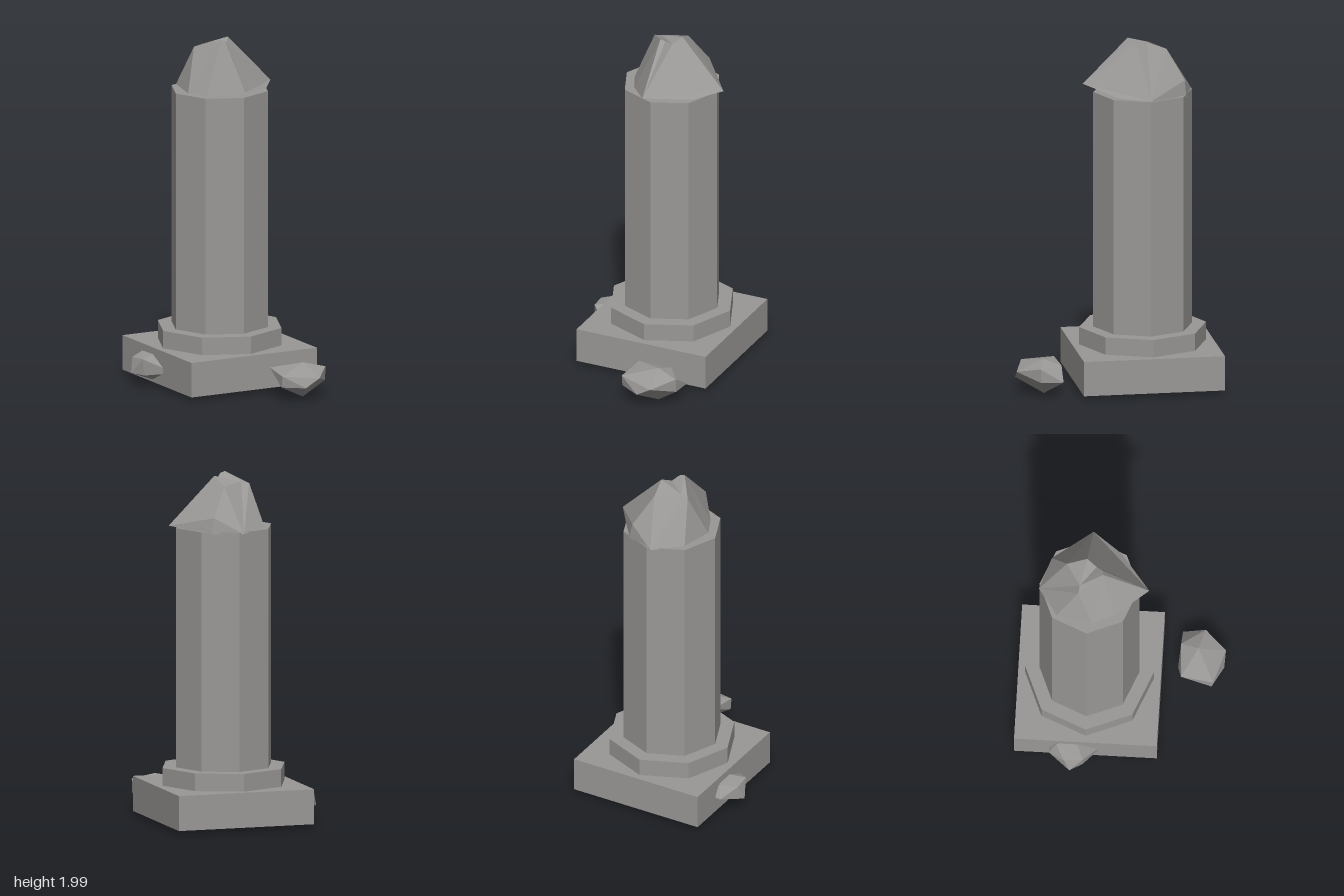
import * as THREE from 'three';
import { ConvexGeometry } from 'three/addons/geometries/ConvexGeometry.js';

const stone = new THREE.MeshStandardMaterial({ color: 0x9a9896, flatShading: true });
stone.name = 'grey stone';

// Axis of the column
const CX = 0.06, CZ = -0.18;

function add(group, name, geometry, x = 0, y = 0, z = 0) {
  const mesh = new THREE.Mesh(geometry, stone);
  mesh.name = name;
  mesh.position.set(x, y, z);
  group.add(mesh);
}

// Upright octagonal drum between two heights
function drum(group, name, radius, y0, y1) {
  add(group, name, new THREE.CylinderGeometry(radius, radius, y1 - y0, 8), CX, (y0 + y1) / 2, CZ);
}

// Loose boulder from its corner points
function boulder(group, name, points) {
  add(group, name, new ConvexGeometry(points.map((p) => new THREE.Vector3(...p))));
}

// Polygons (corners counter-clockwise from outside) fanned into triangles
function facets(points, faces) {
  const out = [];
  for (const f of faces)
    for (let i = 1; i < f.length - 1; i++)
      for (const k of [f[0], f[i], f[i + 1]]) out.push(...points[k]);
  const g = new THREE.BufferGeometry();
  g.setAttribute('position', new THREE.Float32BufferAttribute(out, 3));
  g.computeVertexNormals();
  return g;
}

// Jagged, broken top of the column
function brokenTop() {
  const p = {
    right: [0.385, 1.715, -0.175], frontRight: [0.265, 1.71, -0.01],
    front: [0.037, 1.745, 0.16], frontLeft: [-0.105, 1.7, -0.03],
    left: [-0.16, 1.7, -0.15], backLeft: [-0.125, 1.71, -0.355],
    back: [0.035, 1.69, -0.465], backRight: [0.21, 1.69, -0.405], shoulder: [0.19, 1.78, -0.4],
    peakR: [0.12, 1.99, -0.195], dip: [0.083, 1.965, -0.14], peakF: [0.055, 1.99, -0.105],
    peakL: [0.025, 2, -0.1], notch: [-0.03, 1.955, -0.23], crestL: [-0.075, 1.945, -0.235],
    crestB: [0.1, 1.945, -0.31], under: [CX, 1.69, CZ],
  };
  const rim = ['right', 'frontRight', 'front', 'frontLeft', 'left', 'backLeft', 'back', 'backRight'];
  const faces = [
    ['right', 'dip', 'front', 'frontRight'].reverse(),
    ['peakR', 'dip', 'right'], ['dip', 'peakF', 'front'],
    ['peakF', 'peakL', 'front'], ['peakL', 'frontLeft', 'front'],
    ['peakL', 'crestL', 'left', 'frontLeft'], ['peakL', 'notch', 'crestL'],
    ['crestL', 'backLeft', 'left'],
    ['crestL', 'back', 'backLeft'], ['crestL', 'notch', 'back'],
    ['notch', 'crestB', 'back'], ['crestB', 'shoulder', 'back'], ['shoulder', 'backRight', 'back'],
    ['crestB', 'peakR', 'right', 'shoulder'], ['shoulder', 'right', 'backRight'],
    ['notch', 'peakL', 'peakF', 'dip'], ['notch', 'dip', 'peakR', 'crestB'],
  ];
  // Turn every upper facet to face up and out from the middle
  const mid = new THREE.Vector3(CX - 0.02, 1.8, CZ);
  const v = (k) => new THREE.Vector3(...p[k]);
  const shell = faces.map((f) => {
    const n = new THREE.Triangle(v(f[0]), v(f[1]), v(f[2])).getNormal(new THREE.Vector3());
    return n.dot(v(f[0]).sub(mid)) < 0 ? [...f].reverse() : f;
  });
  // Underside overhanging the shaft
  rim.forEach((k, i) => shell.push(['under', k, rim[(i + 1) % rim.length]]));
  return facets(p, shell);
}

export function createModel() {
  const model = new THREE.Group();
  model.name = 'ruinedColumn';

  // Square plinth, stepped ring and shaft
  add(model, 'plinth', new THREE.BoxGeometry(0.808, 0.2, 0.808), CX, 0.132, CZ);
  drum(model, 'baseRing', 0.364, 0.232, 0.333);
  drum(model, 'shaft', 0.283, 0.333, 1.7);
  add(model, 'brokenTop', brokenTop());

  // Fallen rubble
  boulder(model, 'frontBoulder', [
    [0.265, 0.21, 0.425], [0.265, 0.01, 0.42],
    [0.1, 0.18, 0.335], [0.08, 0.165, 0.52], [0.285, 0.145, 0.58],
    [0.39, 0.18, 0.46], [0.3, 0.175, 0.325], [0.185, 0.1, 0.315],
    [0.4, 0.1, 0.33], [0.2, 0.095, 0.575], [0.08, 0.1, 0.51], [0.39, 0.1, 0.455],
  ]);
  boulder(model, 'sideBoulder', [
    [-0.29, 0.2, -0.25], [-0.29, 0.025, -0.25],
    [-0.43, 0.18, -0.19], [-0.44, 0.175, -0.295], [-0.465, 0.09, -0.265],
    [-0.375, 0.12, -0.385], [-0.3, 0.13, -0.39], [-0.35, 0.19, -0.345],
    [-0.42, 0.085, -0.19], [-0.29, 0.11, -0.06], [-0.2, 0.12, -0.25],
  ]);
  return model;
}
